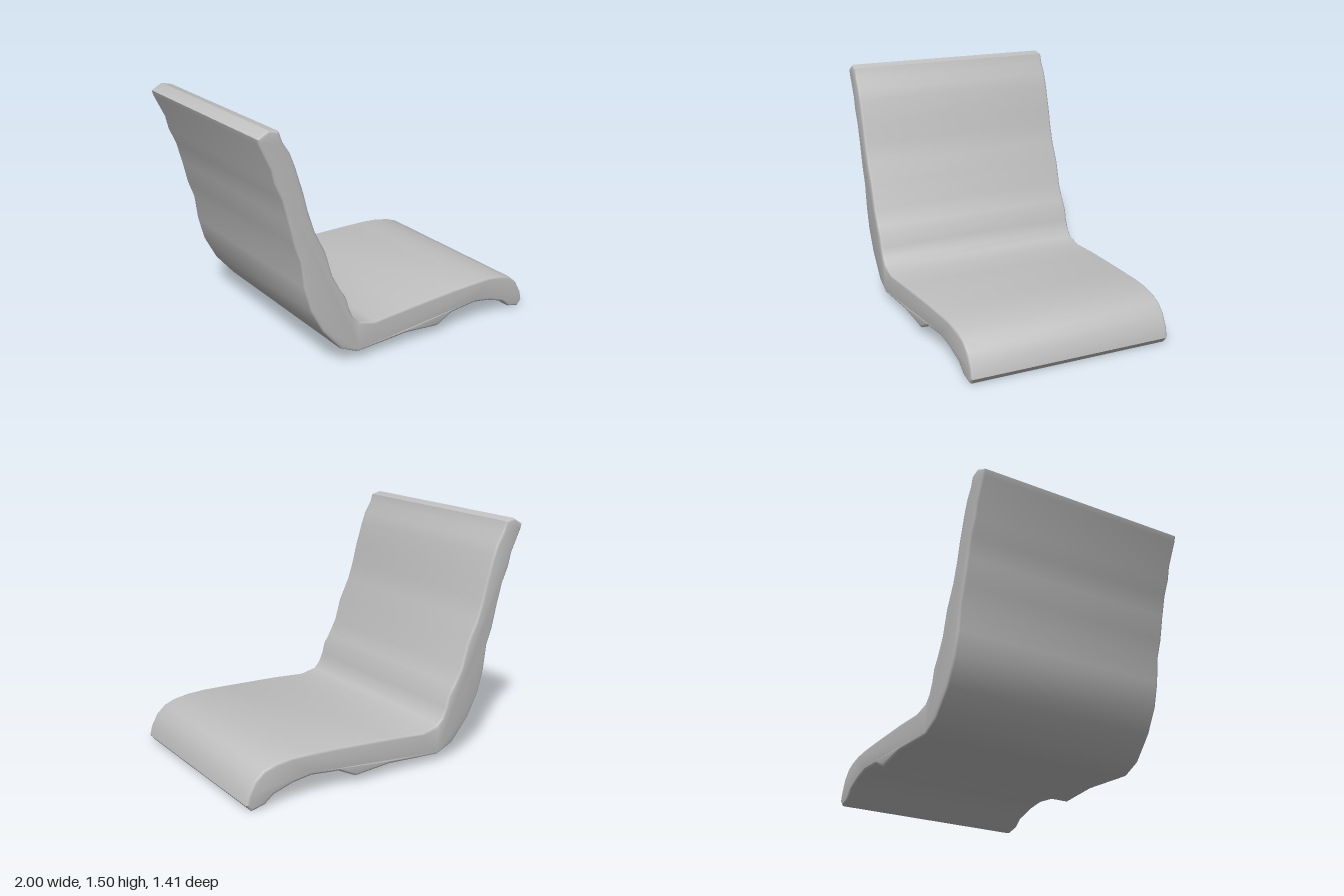
import * as THREE from 'three';
import { toCreasedNormals } from 'three/addons/utils/BufferGeometryUtils.js';

const HALF_WIDTH = 0.705, BEVEL = 0.016;

// Side outline of the shell, counter-clockwise, as [x, y]
const underside = [
  [-0.36, 0.052], [0.01, 0.075], [0.26, 0.052], [0.38, 0.112], [0.57, 0.13],
  [0.69, 0.112], [0.82, 0.07], [0.88, 0.02], [0.965, 0]];
const seatTop = [
  [1, 0.04], [0.985, 0.1], [0.94, 0.18], [0.88, 0.23], [0.81, 0.255], [0.7, 0.27],
  [0.58, 0.272], [0.4, 0.264], [0, 0.242], [-0.24, 0.222], [-0.35, 0.245]];
const backrestFront = [
  [-0.39, 0.285], [-0.42, 0.35], [-0.44, 0.425], [-0.48, 0.485], [-0.535, 0.585],
  [-0.58, 0.74], [-0.65, 0.88], [-0.69, 1], [-0.72, 1.12], [-0.77, 1.28],
  [-0.8, 1.36], [-0.845, 1.43], [-0.865, 1.49], [-0.93, 1.505]];
const backrestRear = [
  [-1, 1.465], [-0.99, 1.43], [-0.92, 1.285], [-0.9, 1.2], [-0.855, 1.1],
  [-0.82, 0.97], [-0.785, 0.82], [-0.745, 0.71], [-0.725, 0.55], [-0.685, 0.4],
  [-0.605, 0.25], [-0.48, 0.105]];

export function createModel() {
  const group = new THREE.Group();
  group.name = 'seatShell';
  const grey = new THREE.MeshStandardMaterial({ color: 0xc0c0c0 });
  grey.name = 'grey';

  // Extrude the outline across the width, with softly rounded side edges
  const outline = [...underside, ...seatTop, ...backrestFront, ...backrestRear];
  const shape = new THREE.Shape(outline.map(([x, y]) => new THREE.Vector2(x, y)));
  const depth = 2 * (HALF_WIDTH - BEVEL);
  const geometry = new THREE.ExtrudeGeometry(shape, {
    depth, bevelEnabled: true, bevelThickness: BEVEL, bevelSize: BEVEL,
    bevelOffset: -BEVEL, bevelSegments: 3 });
  geometry.translate(0, 0, -depth / 2);

  // Narrow the seat towards its leading edge
  const p = geometry.attributes.position;
  for (let i = 0; i < p.count; i++) {
    const t = Math.max(0, (p.getX(i) + 0.2) / 1.2);
    p.setZ(i, p.getZ(i) * (1 - 0.078 * t));
  }

  const shell = new THREE.Mesh(toCreasedNormals(geometry, 0.6), grey);
  shell.name = 'seatAndBackrest';
  group.add(shell);
  return group;
}
